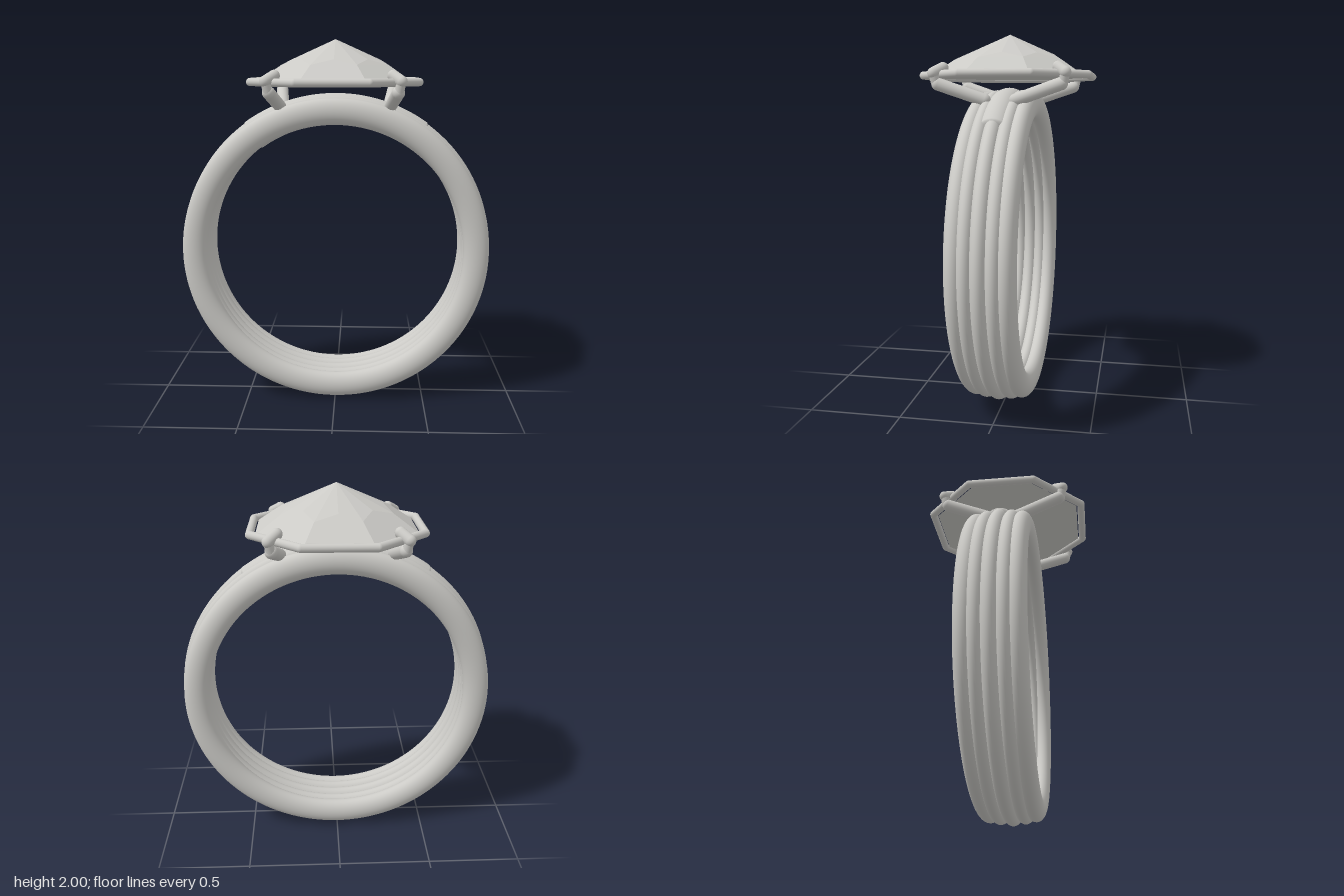
import * as THREE from 'three';

const CENTRE_Y = 0.857;

export function createModel() {
  const root = new THREE.Group();
  root.name = 'ring';
  const metal = new THREE.MeshStandardMaterial({ color: 0xcbcac6 });
  metal.name = 'silver grey';

  const add = (name, geometry, parent = root) => {
    const mesh = new THREE.Mesh(geometry, metal);
    mesh.name = name;
    parent.add(mesh);
    return mesh;
  };

  // Round-ended rod between two points
  const rod = (name, a, b, radius, parent) => {
    const dir = b.clone().sub(a);
    const mesh = add(name, new THREE.CapsuleGeometry(radius, dir.length(), 8, 20), parent);
    mesh.position.copy(a).add(b).multiplyScalar(0.5);
    mesh.quaternion.setFromUnitVectors(new THREE.Vector3(0, 1, 0), dir.normalize());
    return mesh;
  };

  // Band: five fused strands, [z, outer radius, half width]
  const band = new THREE.Group();
  band.name = 'band';
  root.add(band);
  const strands = [[-0.121, 0.839, 0.05], [-0.066, 0.849, 0.046], [0, 0.857, 0.048],
    [0.066, 0.849, 0.046], [0.121, 0.839, 0.05]];
  for (const [z, outer, half] of strands) {
    const t = (outer - 0.7) / 2;
    const g = new THREE.TorusGeometry(0.7 + t, t, 32, 128);
    g.scale(1, 1, half / t);
    add('strand', g, band).position.set(0, CENTRE_Y, z);
  }

  // Smooth bridge under the setting, with rounded ends
  const arc = THREE.MathUtils.degToRad(70);
  const bridge = new THREE.TorusGeometry(0.778, 0.084, 28, 48, arc);
  bridge.rotateZ(Math.PI / 2 - arc / 2);
  add('bridge', bridge).position.y = CENTRE_Y;
  for (const s of [-1, 1]) {
    const cap = new THREE.SphereGeometry(0.084, 28, 20);
    cap.scale(1, 0.35, 1);
    const mesh = add('bridgeEnd', cap);
    mesh.rotation.z = -s * arc / 2 + Math.PI / 2 - Math.PI / 2;
    // The flattened axis follows the band's tangent
    mesh.rotation.z += Math.PI / 2;
    mesh.position.set(s * 0.778 * Math.sin(arc / 2), CENTRE_Y + 0.778 * Math.cos(arc / 2), 0);
  }

  // Corner of a regular octagon with flat sides on the axes
  const corner = (i, apothem, y) => {
    const a = (i + 0.5) * Math.PI / 4;
    const r = apothem / Math.cos(Math.PI / 8);
    return new THREE.Vector3(r * Math.cos(a), y, r * Math.sin(a));
  };

  // Eight-sided rail around the stone
  const rail = new THREE.Group();
  rail.name = 'rail';
  root.add(rail);
  for (let i = 0; i < 8; i++) {
    rod('railSide', corner(i, 0.434, 1.78), corner(i + 1, 0.434, 1.78), 0.021, rail);
  }

  // Prongs, one on each diagonal side
  for (const sx of [-1, 1]) {
    for (const sz of [-1, 1]) {
      const prong = new THREE.Group();
      prong.name = 'prong';
      root.add(prong);
      const p = (x, y, z) => new THREE.Vector3(sx * x, y, sz * z);
      rod('arm', p(0.292, 1.65, 0.08), p(0.322, 1.73, 0.315), 0.033, prong);
      rod('neck', p(0.325, 1.735, 0.325), p(0.336, 1.79, 0.336), 0.024, prong);
      rod('claw', p(0.336, 1.785, 0.336), p(0.295, 1.813, 0.295), 0.029, prong);
    }
  }

  // Faceted stone: eight girdle facets below a sixteen-sided crown
  const pos = [];
  const tri = (...pts) => pts.forEach((v) => pos.push(v.x, v.y, v.z));
  const apex = new THREE.Vector3(0, 2, 0);
  const base = new THREE.Vector3(0, 1.775, 0);
  for (let i = 0; i < 8; i++) {
    const a = corner(i, 0.408, 1.775), b = corner(i + 1, 0.408, 1.775);
    const c = corner(i, 0.28, 1.865), d = corner(i + 1, 0.28, 1.865);
    const m = c.clone().add(d).multiplyScalar(0.5 * 0.24 / 0.28).setY(1.893);
    tri(a, c, b);
    tri(c, d, b);
    tri(c, m, d);
    tri(c, apex, m);
    tri(m, apex, d);
    tri(base, a, b);
  }
  const stone = new THREE.BufferGeometry();
  stone.setAttribute('position', new THREE.Float32BufferAttribute(pos, 3));
  stone.computeVertexNormals();
  add('stone', stone);

  return root;
}
